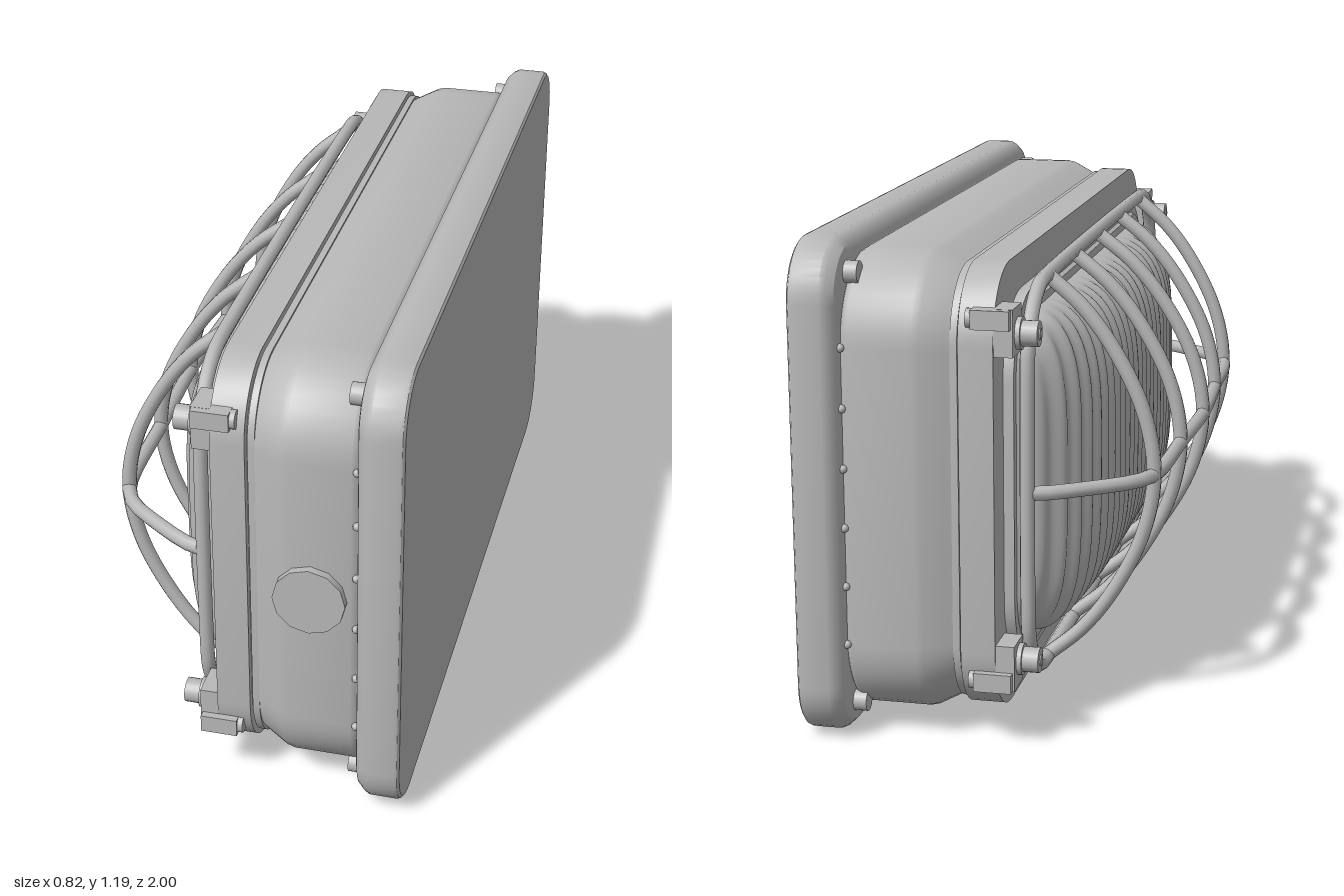
import * as THREE from 'three';
import { toCreasedNormals } from 'three/addons/utils/BufferGeometryUtils.js';

const MID = 0.597; // height of the lamp's axis

// Rounded rectangle outline as [z, y] pairs around the axis
function outline(hz, hy, r, steps = 10) {
  const pts = [];
  for (let q = 0; q < 4; q++) {
    const sz = q === 0 || q === 3 ? 1 : -1, sy = q < 2 ? 1 : -1;
    for (let i = 0; i <= steps; i++) {
      const a = (q + i / steps) * Math.PI / 2;
      pts.push([sz * (hz - r) + r * Math.cos(a), sy * (hy - r) + r * Math.sin(a)]);
    }
  }
  return pts;
}

// Closed solid through rounded rectangles; each stage is [x, halfZ, halfY, cornerRadius]
function loft(stages, crease = 0.5) {
  const pos = [], idx = [];
  const rings = stages.map(([, hz, hy, r]) => outline(hz, hy, r));
  const n = rings[0].length;
  rings.forEach((ring, i) => ring.forEach(([z, y]) => pos.push(stages[i][0], y, z)));
  const last = stages.length - 1, c0 = pos.length / 3;
  pos.push(stages[0][0], 0, 0, stages[last][0], 0, 0);
  for (let j = 0; j < n; j++) {
    const k = (j + 1) % n;
    for (let i = 0; i < last; i++) {
      const a = i * n + j, b = i * n + k;
      idx.push(a, a + n, b + n, a, b + n, b);
    }
    idx.push(c0, j, k, c0 + 1, last * n + k, last * n + j);
  }
  const g = new THREE.BufferGeometry();
  g.setAttribute('position', new THREE.Float32BufferAttribute(pos, 3));
  g.setIndex(idx);
  return toCreasedNormals(g, crease);
}

export function createModel() {
  const model = new THREE.Group();
  const lamp = new THREE.Group();
  lamp.name = 'bulkheadLamp';
  lamp.position.y = MID;
  model.add(lamp);
  const grey = new THREE.MeshStandardMaterial({ color: 0xb8b8b8 });
  grey.name = 'grey';

  const add = (name, geo, x = 0, y = 0, z = 0, parent = lamp) => {
    const m = new THREE.Mesh(geo, grey);
    m.name = name;
    m.position.set(x, y, z);
    parent.add(m);
    return m;
  };
  const wire = (name, pts, closed = false, r = 0.018) => {
    const curve = new THREE.CatmullRomCurve3(pts, closed, 'centripetal');
    return add(name, new THREE.TubeGeometry(curve, closed ? 160 : 40, r, 10, closed));
  };
  const studX = (r, len, sides = 20) => new THREE.CylinderGeometry(r, r, len, sides).rotateZ(Math.PI / 2);

  // Wall plate with a rounded rim
  add('backPlate', loft([
    [0.302, 0.965, 0.562, 0.11], [0.306, 0.978, 0.575, 0.12], [0.322, 0.994, 0.591, 0.136],
    [0.335, 1, 0.597, 0.14], [0.4, 1, 0.597, 0.14], [0.408, 0.997, 0.594, 0.137], [0.413, 0.99, 0.587, 0.13],
  ]));

  // Housing, gasket and front frame
  add('housing', loft([
    [0.053, 0.925, 0.522, 0.18], [0.065, 0.93, 0.527, 0.18], [0.115, 0.957, 0.552, 0.2],
    [0.135, 0.96, 0.556, 0.2], [0.285, 0.96, 0.556, 0.2], [0.298, 0.953, 0.549, 0.195], [0.304, 0.945, 0.54, 0.19],
  ], 0.7));
  add('gasket', loft([[0.036, 0.925, 0.527, 0.17], [0.053, 0.925, 0.527, 0.17]]));
  add('gasketSeat', loft([[0.025, 0.915, 0.515, 0.16], [0.058, 0.915, 0.515, 0.16]]));
  add('frontFrame', loft([[-0.05, 0.935, 0.535, 0.17], [0.032, 0.935, 0.535, 0.17]]));
  add('lensSeat', loft([[-0.085, 0.81, 0.42, 0.17], [-0.075, 0.815, 0.425, 0.17],
    [-0.075, 0.84, 0.45, 0.19], [-0.04, 0.84, 0.45, 0.19]]));

  // Domed lens with fluting across its length
  const lens = new THREE.PlaneGeometry(2, 2, 300, 28);
  const p = lens.attributes.position;
  const HZ = 0.79, HY = 0.4, R = 0.17;
  for (let i = 0; i < p.count; i++) {
    const s = Math.sin(p.getX(i) * Math.PI / 2), t = Math.sin(p.getY(i) * Math.PI / 2);
    const z = HZ * s, over = Math.max(0, Math.abs(z) - (HZ - R));
    const h = HY - R + Math.sqrt(Math.max(0, R * R - over * over));
    const dome = Math.sqrt(Math.max(0, (1 - t ** 4) * (1 - s ** 4)));
    const flute = 0.006 * Math.cos(z * 2 * Math.PI / 0.06) * Math.min(1, dome * 2);
    p.setXYZ(i, -0.08 - 0.155 * dome - flute, t * h, z);
  }
  lens.computeVertexNormals();
  add('lens', lens);

  // Wire guard: base ring, five bows and one long spine
  const V = (x, y, z) => new THREE.Vector3(x, y, z);
  wire('guardRing', outline(0.83, 0.475, 0.18, 6).map(([z, y]) => V(-0.105, y, z)), true);
  const bow = [[-0.475, 0], [-0.4, 0.33], [-0.3, 0.62], [-0.15, 0.9], [0, 1],
    [0.15, 0.9], [0.3, 0.62], [0.4, 0.33], [0.475, 0]];
  [[-0.61, 0.365], [-0.305, 0.381], [0, 0.393], [0.305, 0.381], [0.61, 0.365]].forEach(([z, reach]) =>
    wire('guardBow', bow.map(([y, f]) => V(-0.105 - (reach - 0.105) * f, y, z))));
  const half = [[-0.105, 0.83], [-0.15, 0.815], [-0.24, 0.755], [-0.33, 0.68], [-0.365, 0.61], [-0.381, 0.305]];
  wire('guardSpine', [
    ...half.map(([x, z]) => V(x, 0, -z)), V(-0.393, 0, 0),
    ...half.slice().reverse().map(([x, z]) => V(x, 0, z)),
  ]);

  // Corner clamps with screws, and wall plate bolts
  for (const sz of [-1, 1]) {
    for (const sy of [-1, 1]) {
      const clamp = new THREE.Group();
      clamp.name = 'cornerClamp';
      lamp.add(clamp);
      add('clampPad', new THREE.BoxGeometry(0.045, 0.11, 0.09), -0.072, sy * 0.398, sz * 0.885, clamp);
      add('clampArm', new THREE.BoxGeometry(0.09, 0.045, 0.05), -0.045, sy * 0.43, sz * 0.923, clamp);
      add('clampTip', studX(0.0225, 0.02), 0.003, sy * 0.43, sz * 0.923, clamp);
      add('clampWasher', studX(0.038, 0.012), -0.1, sy * 0.39, sz * 0.876, clamp);
      add('clampScrew', studX(0.03, 0.045), -0.122, sy * 0.39, sz * 0.876, clamp);
      add('screwSocket', studX(0.014, 0.004, 6), -0.146, sy * 0.39, sz * 0.876, clamp);
      add('plateBolt', studX(0.026, 0.04), 0.29, sy * 0.518, sz * 0.892);
    }
    // Small pips along the end seams
    for (let i = 0; i < 6; i++) {
      add('seamPip', new THREE.SphereGeometry(0.01, 10, 8), 0.299, (i - 2.5) * 0.142, sz * 0.96);
    }
  }

  // Blanking plug on the end wall and hinge strip under the guard
  add('endPlug', new THREE.CylinderGeometry(0.087, 0.087, 0.03, 12).rotateX(Math.PI / 2), 0.19, 0, 0.965);
  add('hingeStrip', new THREE.BoxGeometry(0.016, 0.035, 0.63), -0.082, -0.475, 0);

  return model;
}
